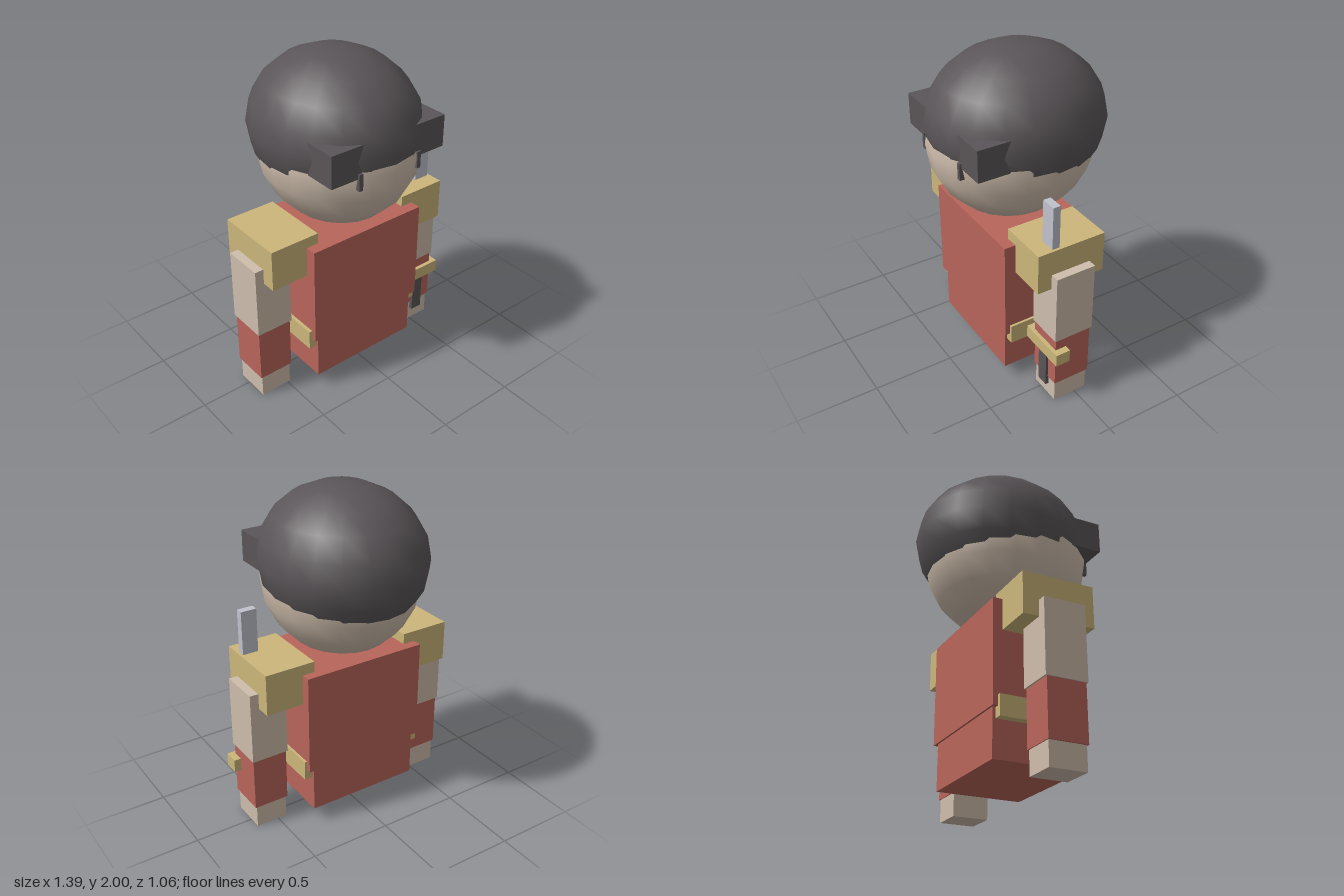
import * as THREE from 'three';

const mat = (name, color) => {
  const m = new THREE.MeshStandardMaterial({ color });
  m.name = name;
  return m;
};

export function createModel() {
  const model = new THREE.Group();
  model.name = 'figure';
  const red = mat('red cloth', 0xb8655a);
  const skin = mat('skin', 0xcebdac);
  const gold = mat('gold', 0xcbb67a);
  const dark = mat('dark grey', 0x5a5558);
  const steel = mat('steel', 0xc0c2cc);
  const midX = -0.02; // the body's plane of symmetry

  const add = (name, geometry, material, x, y, z) => {
    const mesh = new THREE.Mesh(geometry, material);
    mesh.name = name;
    mesh.position.set(x, y, z);
    model.add(mesh);
    return mesh;
  };

  // Box given by its limits on each axis
  const box = (name, material, [x0, x1], [y0, y1], [z0, z1]) =>
    add(name, new THREE.BoxGeometry(x1 - x0, y1 - y0, z1 - z0), material,
      (x0 + x1) / 2, (y0 + y1) / 2, (z0 + z1) / 2);

  // The same box on both sides, with x measured from the middle
  const pair = (name, material, [x0, x1], y, z) => {
    box('left' + name, material, [midX + x0, midX + x1], y, z);
    box('right' + name, material, [midX - x1, midX - x0], y, z);
  };

  const ellipsoid = (name, material, rx, ry, rz, y, z) =>
    add(name, new THREE.SphereGeometry(1, 20, 10).scale(rx, ry, rz), material, midX, y, z);

  // Head, with the hair as a larger cap that meets it along a sloping hairline
  ellipsoid('head', skin, 0.456, 0.47, 0.497, 1.46, 0.029);
  ellipsoid('hair', dark, 0.48, 0.433, 0.53, 1.567, 0);
  pair('HairTuft', dark, [0.14, 0.39], [1.47, 1.66], [0.2, 0.467]);
  pair('HairStrand', dark, [0.19, 0.215], [1.4, 1.5], [0.4, 0.479]);

  // Body
  box('torso', red, [-0.41, 0.37], [0.38, 1.0], [-0.245, 0.313]);
  box('skirt', red, [-0.38, 0.335], [0.1, 0.38], [-0.233, 0.297]);
  box('belt', gold, [-0.43, 0.385], [0.318, 0.44], [-0.215, 0.282]);

  // Arms
  pair('ShoulderPad', gold, [0.312, 0.623], [0.815, 1.065], [-0.188, 0.245]);
  pair('UpperArm', skin, [0.447, 0.677], [0.47, 0.91], [-0.093, 0.157]);
  pair('Sleeve', red, [0.454, 0.67], [0.14, 0.47], [-0.083, 0.149]);
  pair('Hand', skin, [0.463, 0.66], [0, 0.14], [-0.077, 0.142]);

  // Sword held upright against the left arm
  box('swordBlade', steel, [0.49, 0.587], [0.4, 1.33], [0.1, 0.146]);
  box('swordGuard', gold, [0.385, 0.693], [0.32, 0.4], [0.08, 0.172]);
  box('swordGrip', dark, [0.5, 0.577], [0.083, 0.32], [0.088, 0.164]);

  return model;
}
